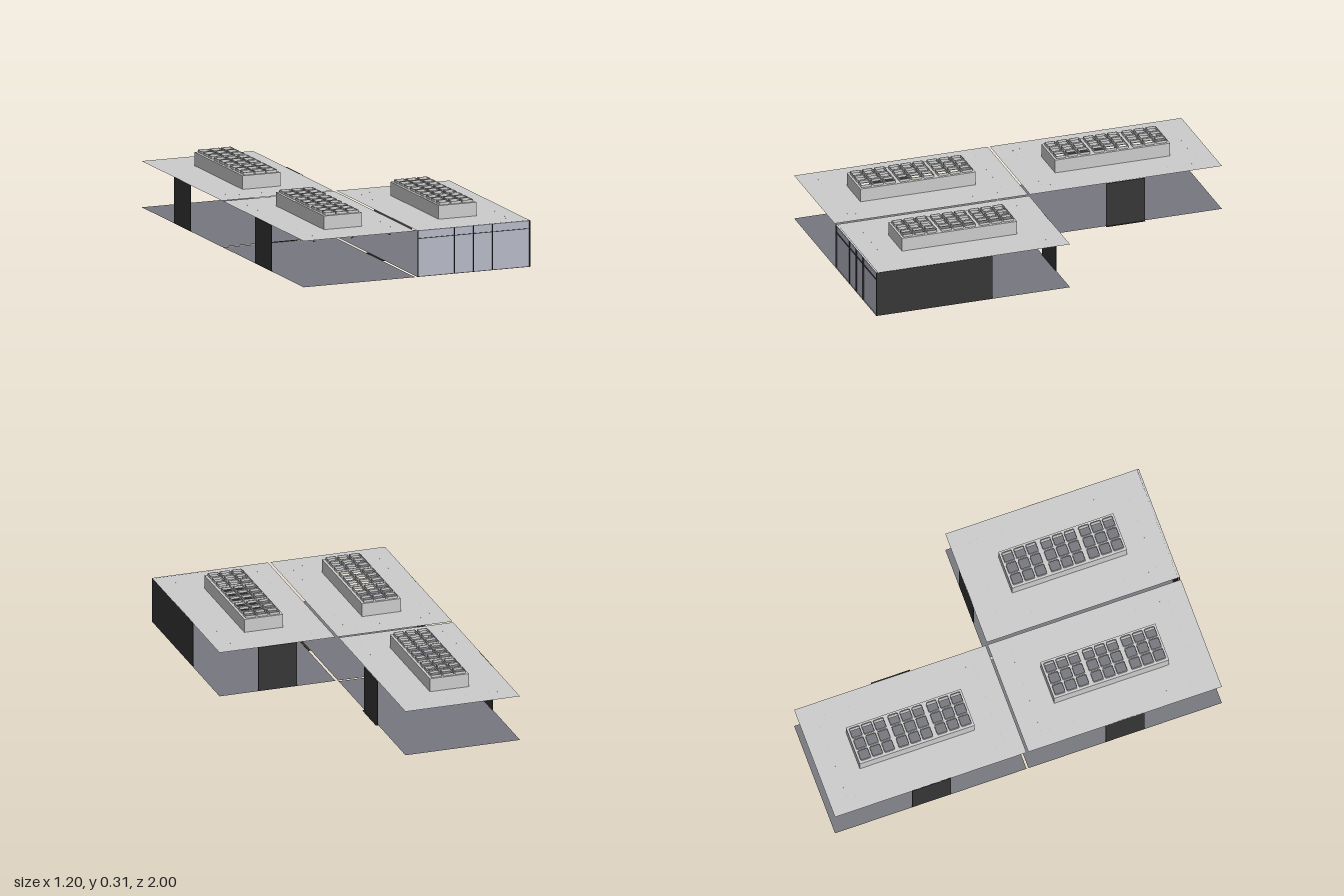
import * as THREE from 'three';

const mat = (name, color, side = THREE.FrontSide) => {
  const m = new THREE.MeshStandardMaterial({ color, side });
  m.name = name;
  return m;
};

const CEILING = 0.23, SKY_TOP = 0.298;

// Rectangle outline, optionally with rounded corners
function rect(target, cx, cy, w, h, r = 0) {
  const x = cx - w / 2, y = cy - h / 2;
  target.moveTo(x + r, y);
  target.lineTo(x + w - r, y);
  if (r) target.quadraticCurveTo(x + w, y, x + w, y + r);
  target.lineTo(x + w, y + h - r);
  if (r) target.quadraticCurveTo(x + w, y + h, x + w - r, y + h);
  target.lineTo(x + r, y + h);
  if (r) target.quadraticCurveTo(x, y + h, x, y + h - r);
  target.lineTo(x, y + r);
  if (r) target.quadraticCurveTo(x, y, x + r, y);
  return target;
}

export function createModel() {
  const model = new THREE.Group();
  model.name = 'pavilion';

  const roofMat = mat('light grey roof', 0xcccccc, THREE.DoubleSide);
  const floorMat = mat('slate floor', 0x77777f, THREE.DoubleSide);
  const wallMat = mat('charcoal wall', 0x363636);
  const glassMat = mat('blue grey glazing', 0xb6b9c7);
  const frameMat = mat('dark frame', 0x2a2b2e);
  const sillMat = mat('brown threshold', 0x352d24);
  const lightMat = mat('grey light fitting', 0x8a8a8a);

  const add = (parent, name, geometry, material, x = 0, y = 0, z = 0) => {
    const m = new THREE.Mesh(geometry, material);
    m.name = name;
    m.position.set(x, y, z);
    parent.add(m);
    return m;
  };
  const box = (parent, name, material, w, h, d, x, y, z) =>
    add(parent, name, new THREE.BoxGeometry(w, h, d), material, x, y, z);
  const flat = (shape) => new THREE.ShapeGeometry(shape).rotateX(-Math.PI / 2);
  const slab = (shape, depth) =>
    new THREE.ExtrudeGeometry(shape, { depth, bevelEnabled: false, curveSegments: 3 }).rotateX(-Math.PI / 2);

  // Grid of skylight openings: 3 columns, 3 groups of 3 rows
  const cells = [];
  for (let col = -1; col <= 1; col++)
    for (let group = -1; group <= 1; group++)
      for (let row = -1; row <= 1; row++) cells.push([col * 0.061, group * 0.198 + row * 0.062]);

  const skyW = 0.2, skyL = 0.594;

  // Curb walls, perforated lid and a raised rim round every opening
  function skylight() {
    const g = new THREE.Group();
    g.name = 'skylight';
    const ring = rect(new THREE.Shape(), 0, 0, skyW, skyL);
    ring.holes.push(rect(new THREE.Path(), 0, 0, skyW - 0.006, skyL - 0.006));
    add(g, 'skylightWalls', slab(ring, SKY_TOP - CEILING), roofMat, 0, CEILING, 0);

    const lid = rect(new THREE.Shape(), 0, 0, skyW, skyL);
    for (const [x, y] of cells) lid.holes.push(rect(new THREE.Path(), x, y, 0.048, 0.048, 0.006));
    add(g, 'skylightLid', flat(lid), roofMat, 0, SKY_TOP, 0);

    const rim = rect(new THREE.Shape(), 0, 0, 0.053, 0.053, 0.007);
    rim.holes.push(rect(new THREE.Path(), 0, 0, 0.048, 0.048, 0.006));
    const rimGeometry = slab(rim, 0.013);
    for (const [x, z] of cells) add(g, 'openingRim', rimGeometry, roofMat, x, SKY_TOP, z);
    return g;
  }

  // Spotlight hanging from a rail and tilted outward
  function spot(parent, x, z, tiltX, tiltZ) {
    const g = new THREE.Group();
    g.name = 'spotlight';
    g.position.set(x, 0.219, z);
    add(g, 'spotStem', new THREE.CylinderGeometry(0.0012, 0.0012, 0.01, 6), lightMat, 0, -0.004, 0);
    const shade = add(g, 'spotShade', new THREE.CylinderGeometry(0.002, 0.0065, 0.011, 10), lightMat, 0, -0.012, 0);
    shade.rotation.set(tiltX, 0, tiltZ);
    parent.add(g);
  }

  // Rail suspended from the ceiling on short rods
  function rail(parent, x, z, w, d) {
    box(parent, 'lightRail', lightMat, w, 0.005, d, x, 0.2215, z);
    for (const s of [-0.3, 0.3])
      box(parent, 'railRod', lightMat, 0.002, 0.008, 0.002,
        x + (w > d ? s * w : 0), 0.227, z + (d > w ? s * d : 0));
  }

  // Corner L rails and a centre rail at each end of a bay
  function lighting() {
    const g = new THREE.Group();
    g.name = 'trackLighting';
    for (const sz of [-1, 1]) {
      rail(g, 0, sz * 0.405, 0.155, 0.006);
      spot(g, 0, sz * 0.405, -sz * 0.5, 0);
      for (const sx of [-1, 1]) {
        rail(g, sx * 0.187, sz * 0.405, 0.075, 0.006);
        rail(g, sx * 0.222, sz * 0.302, 0.006, 0.21);
        spot(g, sx * 0.2, sz * 0.405, -sz * 0.5, 0);
        spot(g, sx * 0.222, sz * 0.205, 0, sx * 0.5);
      }
    }
    return g;
  }

  // One bay: floor, roof with opening, skylight, lights
  function bay(name, x0, x1, z0, z1) {
    const g = new THREE.Group();
    g.name = name;
    g.position.set((x0 + x1) / 2, 0, (z0 + z1) / 2);
    const w = x1 - x0, d = z1 - z0;
    add(g, 'floor', flat(rect(new THREE.Shape(), 0, 0, w, d)), floorMat);
    const roof = rect(new THREE.Shape(), 0, 0, w, d);
    roof.holes.push(rect(new THREE.Path(), 0, 0, skyW - 0.006, skyL - 0.006));
    add(g, 'roof', flat(roof), roofMat, 0, CEILING, 0);
    g.add(skylight(), lighting());
    model.add(g);
  }
  bay('backBay', -0.6, -0.01, -1, -0.01);
  bay('frontRightBay', -0.6, -0.01, 0, 1);
  bay('frontLeftBay', 0.003, 0.6, 0, 1);

  // Short wall panels and the long side wall
  const T = 0.004, H = CEILING;
  box(model, 'sideWall', wallMat, T, H, 0.6, 0.6 - T / 2, H / 2, 0.7);
  box(model, 'backPanel', wallMat, 0.2, H, T, 0.3, H / 2, T / 2);
  box(model, 'innerPanel', wallMat, T, H, 0.2, -0.006, H / 2, -0.5);
  for (const z of [-0.5, 0.5]) box(model, 'outerPanel', wallMat, T, H, 0.2, -0.6 + T / 2, H / 2, z);

  // Thresholds bridging the gaps between bays
  for (const z of [-0.5, 0.5]) box(model, 'threshold', sillMat, 0.013, 0.002, 0.2, -0.0035, 0.001, z);
  box(model, 'threshold', sillMat, 0.2, 0.002, 0.01, -0.305, 0.001, -0.005);

  // Glazed front with fine projecting mullions and a transom
  const front = new THREE.Group();
  front.name = 'glazedFront';
  box(front, 'glazing', glassMat, 0.592, H, 0.003, 0.302, H / 2, 0.9925);
  box(front, 'glazingBack', frameMat, 0.592, H, 0.002, 0.302, H / 2, 0.99);
  for (const x of [0.006, 0.2, 0.3, 0.4, 0.598])
    box(front, 'mullion', frameMat, 0.002, H, 0.008, x, H / 2, 0.996);
  box(front, 'transom', frameMat, 0.592, 0.0015, 0.006, 0.302, 0.19, 0.996);
  model.add(front);

  return model;
}
